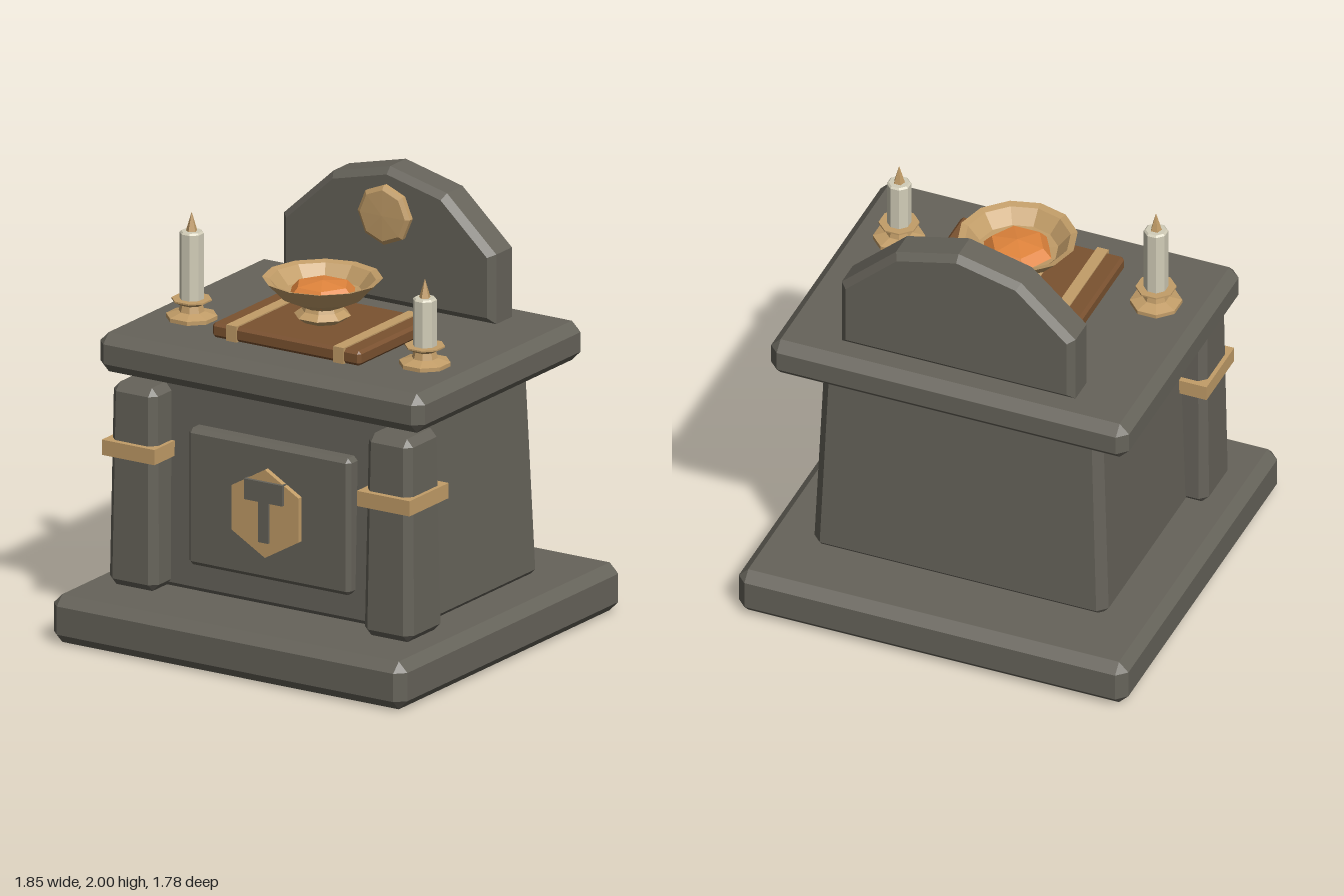
import * as THREE from 'three';
import { ConvexGeometry } from 'three/addons/geometries/ConvexGeometry.js';

const mat = (name, color, double) => {
  const m = new THREE.MeshStandardMaterial({ color });
  m.name = name;
  m.flatShading = true;
  if (double) m.side = THREE.DoubleSide;
  return m;
};

// Box with chamfered edges, optionally narrowing towards the top
function chamferBox([x0, x1], [y0, y1], [z0, z1], bevel, taper = 1) {
  const half = [(x1 - x0) / 2, (y1 - y0) / 2, (z1 - z0) / 2];
  const points = [];
  for (const sx of [-1, 1]) for (const sy of [-1, 1]) for (const sz of [-1, 1])
    for (let axis = 0; axis < 3; axis++) {
      const p = [sx, sy, sz].map((s, i) => s * (half[i] - (i === axis ? 0 : bevel)));
      const k = 1 + (taper - 1) * (p[1] / half[1] + 1) / 2;
      points.push(new THREE.Vector3(
        (x0 + x1) / 2 + p[0] * k, (y0 + y1) / 2 + p[1], (z0 + z1) / 2 + p[2] * k));
    }
  return new ConvexGeometry(points);
}

function boxAt([x0, x1], [y0, y1], [z0, z1]) {
  return new THREE.BoxGeometry(x1 - x0, y1 - y0, z1 - z0)
    .translate((x0 + x1) / 2, (y0 + y1) / 2, (z0 + z1) / 2);
}

// Faceted turned shape; profile runs from the bottom up
const turned = (profile, sides, turn = 0) =>
  new THREE.LatheGeometry(profile.map(([r, y]) => new THREE.Vector2(r, y)), sides).rotateY(turn);

export function createModel() {
  const model = new THREE.Group();
  model.name = 'altar';
  const stone = mat('stone', 0x66635a);
  const gold = mat('gold', 0xc29d68, true);
  const leather = mat('leather', 0x7b5230);
  const wax = mat('wax', 0xd2cdb8);
  const ember = mat('ember', 0xe0843c);

  const add = (name, geometry, material, parent = model) => {
    const mesh = new THREE.Mesh(geometry, material);
    mesh.name = name;
    parent.add(mesh);
    return mesh;
  };

  // Stone blocks
  add('base', chamferBox([-0.925, 0.925], [0, 0.22], [-0.89, 0.89], 0.045), stone);
  add('body', chamferBox([-0.7, 0.7], [0.2, 1.192], [-0.57, 0.5], 0.042, 0.945), stone);
  add('tableTop', chamferBox([-0.85, 0.85], [1.19, 1.37], [-0.702, 0.632], 0.045), stone);
  add('frontPanel', chamferBox([-0.425, 0.425], [0.355, 0.985], [0.44, 0.545], 0.02), stone);

  // Corner pillars with metal bands
  for (const [side, s] of [['left', 1], ['right', -1]]) {
    const span = (a, b) => (s > 0 ? [a, b] : [-b, -a]);
    add(side + 'Pillar',
      chamferBox(span(0.538, 0.796), [0.22, 1.15], [0.346, 0.628], 0.035, 0.89), stone);
    add(side + 'PillarBand', boxAt(span(0.53, 0.805), [0.82, 0.89], [0.33, 0.644]), gold);
  }

  // Hexagonal front emblem carrying a hammer
  add('emblemPlate', new THREE.CylinderGeometry(0.203, 0.203, 0.03, 6)
    .rotateX(Math.PI / 2).translate(0, 0.67, 0.555), gold);
  add('hammerHead', boxAt([-0.1, 0.1], [0.725, 0.82], [0.55, 0.585]), stone);
  add('hammerHandle', boxAt([-0.025, 0.025], [0.54, 0.725], [0.55, 0.585]), stone);

  // Arched back slab
  const arch = new THREE.Shape([
    [-0.555, 1.37], [0.555, 1.37], [0.555, 1.69], [0.297, 1.927],
    [0, 2], [-0.297, 1.927], [-0.555, 1.69],
  ].map(([x, y]) => new THREE.Vector2(x, y)));
  add('backSlab', new THREE.ExtrudeGeometry(arch, {
    depth: 0.125, bevelEnabled: true, bevelThickness: 0.03,
    bevelSize: 0.03, bevelOffset: -0.03, bevelSegments: 1,
  }).translate(0, 0, -0.56), stone);
  add('medallion', turned([[0.137, 0], [0.137, 0.025], [0.118, 0.038], [0, 0.042]], 8)
    .rotateX(Math.PI / 2).translate(0, 1.788, -0.408), gold);

  // Strapped book
  add('book', chamferBox([-0.388, 0.388], [1.37, 1.438], [-0.188, 0.405], 0.014), leather);
  for (const [side, s] of [['left', 1], ['right', -1]])
    add(side + 'BookStrap',
      boxAt([s * 0.28 - 0.027, s * 0.28 + 0.027], [1.37, 1.444], [-0.195, 0.41]), gold);

  // Offering bowl with glowing coals
  const bowl = new THREE.Group();
  bowl.name = 'bowl';
  bowl.position.z = 0.108;
  model.add(bowl);
  add('bowlFoot', turned([[0, 1.435], [0.085, 1.435], [0.127, 1.465], [0.095, 1.49],
    [0.085, 1.515]], 8, Math.PI / 8), gold, bowl);
  add('bowlShell', turned([[0, 1.5], [0.085, 1.505], [0.187, 1.553], [0.266, 1.635],
    [0.235, 1.627], [0.18, 1.565], [0, 1.545]], 12), gold, bowl);
  add('coals', turned([[0.15, 1.535], [0.168, 1.555], [0.122, 1.605], [0, 1.622]], 6,
    Math.PI / 6), ember, bowl);

  // Candles in octagonal holders
  for (const [side, x, top] of [['left', 0.61, 1.68], ['right', -0.61, 1.772]]) {
    const candle = new THREE.Group();
    candle.name = side + 'Candle';
    candle.position.set(x, 0, 0.222);
    model.add(candle);
    add('holder', turned([[0, 1.37], [0.115, 1.37], [0.115, 1.388], [0.058, 1.405],
      [0.05, 1.435], [0.09, 1.455], [0.09, 1.462], [0, 1.462]], 8, Math.PI / 8), gold, candle);
    add('wax', turned([[0.054, 1.46], [0.054, top - 0.008], [0.046, top], [0, top]], 8,
      Math.PI / 8), wax, candle);
    add('flame', turned([[0, top - 0.005], [0.026, top], [0, top + 0.088]], 5), gold, candle);
  }

  return model;
}
